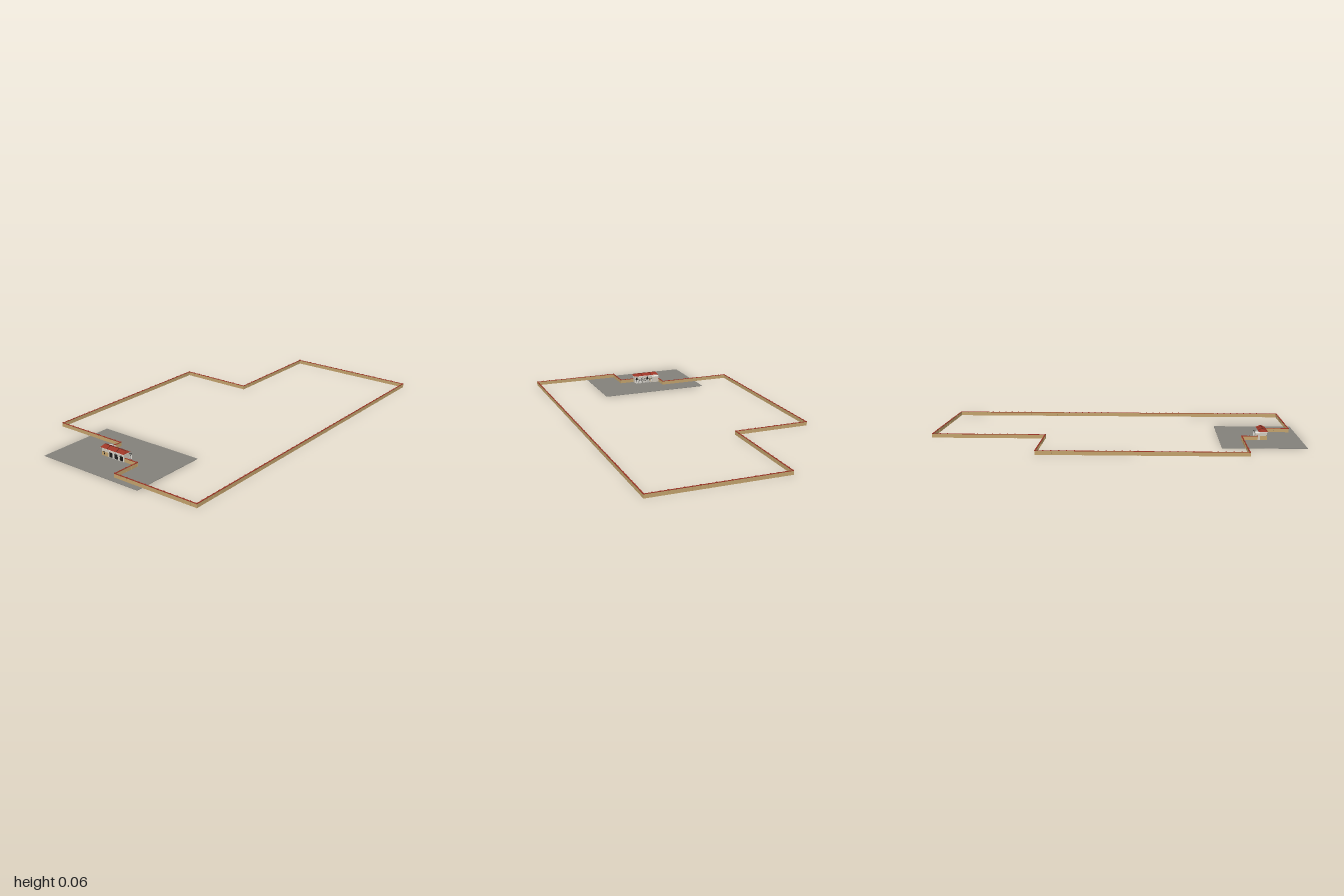
import * as THREE from 'three';
import { mergeGeometries } from 'three/addons/utils/BufferGeometryUtils.js';

const mat = (name, color, opts = {}) => {
  const m = new THREE.MeshStandardMaterial({ color, ...opts });
  m.name = name;
  return m;
};

// box given by its min and max corners
const box = (x0, y0, z0, x1, y1, z1) =>
  new THREE.BoxGeometry(x1 - x0, y1 - y0, z1 - z0)
    .translate((x0 + x1) / 2, (y0 + y1) / 2, (z0 + z1) / 2);

export function createModel() {
  const root = new THREE.Group();
  root.name = 'walledGroundsWithGatehouse';
  const sand = mat('sandWall', 0xc2a26c);
  const tile = mat('redTile', 0x9c3526);
  const darkTile = mat('darkTile', 0x5e241c);
  const plaster = mat('plaster', 0xd0c8ba);
  const white = mat('whiteTrim', 0xeeece6);
  const iron = mat('darkIron', 0x1e1c1a);
  const paving = mat('paving', 0x82807a);

  const add = (parent, name, geos, material) => {
    const list = [].concat(geos);
    const mesh = new THREE.Mesh(list.length > 1 ? mergeGeometries(list) : list[0], material);
    mesh.name = name;
    parent.add(mesh);
    return mesh;
  };

  // paved forecourt
  add(root, 'forecourt', box(-0.375, 0, 0.56, 0.255, 0.002, 1), paving);

  // boundary wall running from one side of the gatehouse to the other
  const path = [
    [-0.155, 0.765], [-0.155, 0.682], [-0.582, 0.682], [-0.582, -0.38], [-0.158, -0.38],
    [-0.158, -0.997], [0.582, -0.997], [0.582, 0.965], [0.08, 0.965], [0.08, 0.81], [-0.003, 0.81],
  ];
  const walls = [], copings = [], caps = [];
  for (let i = 0; i < path.length - 1; i++) {
    const [ax, az] = path[i], [bx, bz] = path[i + 1];
    const run = (r, y0, y1) => box(
      Math.min(ax, bx) - r, y0, Math.min(az, bz) - r,
      Math.max(ax, bx) + r, y1, Math.max(az, bz) + r);
    walls.push(run(0.002, 0.002, 0.022));
    copings.push(run(0.0028, 0.022, 0.0242));
    // small caps spaced along the coping
    const n = Math.max(1, Math.round(Math.hypot(bx - ax, bz - az) / 0.04));
    for (let k = 0; k < n; k++) {
      const x = ax + (bx - ax) * k / n, z = az + (bz - az) * k / n;
      walls.push(box(x - 0.0028, 0.002, z - 0.0028, x + 0.0028, 0.022, z + 0.0028));
      caps.push(box(x - 0.0032, 0.022, z - 0.0032, x + 0.0032, 0.026, z + 0.0032));
    }
  }
  const boundary = new THREE.Group();
  boundary.name = 'boundaryWall';
  root.add(boundary);
  add(boundary, 'wallPanels', walls, sand);
  add(boundary, 'wallCoping', copings, tile);
  add(boundary, 'pierCaps', caps, tile);

  const house = new THREE.Group();
  house.name = 'gatehouse';
  root.add(house);

  // solid lodge at the right-hand end, with plinth and door
  add(house, 'lodge', box(-0.153, 0.002, 0.78, -0.11, 0.045, 0.816), plaster);
  add(house, 'lodgePlinth', box(-0.154, 0.002, 0.779, -0.11, 0.024, 0.817), sand);
  add(house, 'lodgeDoor', box(-0.14, 0.01, 0.8165, -0.134, 0.027, 0.8178), iron);
  add(house, 'rearAnnex', box(-0.155, 0.002, 0.756, -0.114, 0.038, 0.78), plaster);
  add(house, 'annexRoof', box(-0.156, 0.038, 0.755, -0.113, 0.04, 0.78), white);

  // arcaded passage: front and rear walls with three arched openings
  const wallShape = new THREE.Shape();
  wallShape.moveTo(-0.11, 0.002);
  wallShape.lineTo(-0.003, 0.002);
  wallShape.lineTo(-0.003, 0.045);
  wallShape.lineTo(-0.11, 0.045);
  const centres = [-0.092, -0.0565, -0.021];
  const arch = (Shape, cx, r, y0) => {
    const s = new Shape();
    s.moveTo(cx - r, y0);
    s.lineTo(cx + r, y0);
    s.lineTo(cx + r, 0.025);
    s.absarc(cx, 0.025, r, 0, Math.PI, false);
    s.closePath();
    return s;
  };
  centres.forEach(cx => wallShape.holes.push(arch(THREE.Path, cx, 0.0125, 0.003)));
  const arcade = z => new THREE.ExtrudeGeometry(wallShape,
    { depth: 0.004, bevelEnabled: false, curveSegments: 10 }).translate(0, 0, z);
  add(house, 'arcadeWalls', [arcade(0.812), arcade(0.78)], plaster);
  add(house, 'endWall', box(-0.007, 0.002, 0.784, -0.003, 0.045, 0.812), plaster);

  // white surrounds and pilasters on both faces
  const trims = [];
  for (const z of [0.816, 0.779]) {
    for (const cx of centres) {
      const ring = arch(THREE.Shape, cx, 0.0155, 0.003);
      ring.holes.push(arch(THREE.Path, cx, 0.0125, 0.0035));
      trims.push(new THREE.ExtrudeGeometry(ring,
        { depth: 0.001, bevelEnabled: false, curveSegments: 10 }).translate(0, 0, z));
    }
  }
  add(house, 'archSurrounds', trims, white);

  // iron gates inside the arches
  const bars = [];
  for (const cx of centres) {
    for (let k = -3; k <= 3; k++) {
      const x = cx + k * 0.0034;
      bars.push(box(x - 0.0009, 0.002, 0.813, x + 0.0009, 0.027, 0.815));
    }
    for (const y of [0.006, 0.016, 0.026])
      bars.push(box(cx - 0.0125, y, 0.813, cx + 0.0125, y + 0.0015, 0.815));
  }
  add(house, 'gates', bars, iron);

  // rear porch with a row of slim posts
  const posts = [], heads = [];
  for (let k = 0; k < 12; k++) {
    const x = -0.109 + k * 0.0095;
    posts.push(box(x - 0.0015, 0.002, 0.76, x + 0.0015, 0.026, 0.763));
    heads.push(box(x - 0.002, 0.026, 0.7595, x + 0.002, 0.029, 0.7635));
  }
  add(house, 'porchPosts', posts, white);
  add(house, 'porchPostHeads', heads, iron);
  add(house, 'porchRail', box(-0.113, 0.018, 0.761, -0.003, 0.0195, 0.762), iron);

  // eaves and hipped tile roof
  add(house, 'eaves', box(-0.157, 0.044, 0.774, 0.001, 0.046, 0.822), white);
  const roof = new THREE.BoxGeometry(0.16, 0.012, 0.05);
  const p = roof.attributes.position;
  for (let i = 0; i < p.count; i++) {
    if (p.getY(i) > 0) p.setXYZ(i, p.getX(i) * 0.88, p.getY(i), p.getZ(i) * 0.08);
  }
  roof.computeVertexNormals();
  roof.translate(-0.078, 0.052, 0.798);
  add(house, 'hippedRoof', roof, tile);
  add(house, 'ridgeTile', box(-0.149, 0.0575, 0.796, -0.007, 0.0588, 0.8), darkTile);

  // raised tile ribs dividing the roof slopes
  const ribs = [];
  for (const x of [-0.11, -0.05]) {
    for (const s of [-1, 1]) {
      ribs.push(new THREE.BoxGeometry(0.003, 0.0015, 0.026)
        .rotateX(s * Math.atan2(0.012, 0.023))
        .translate(x, 0.0523, 0.798 + s * 0.0135));
    }
  }
  add(house, 'roofRibs', ribs, darkTile);
  return root;
}
